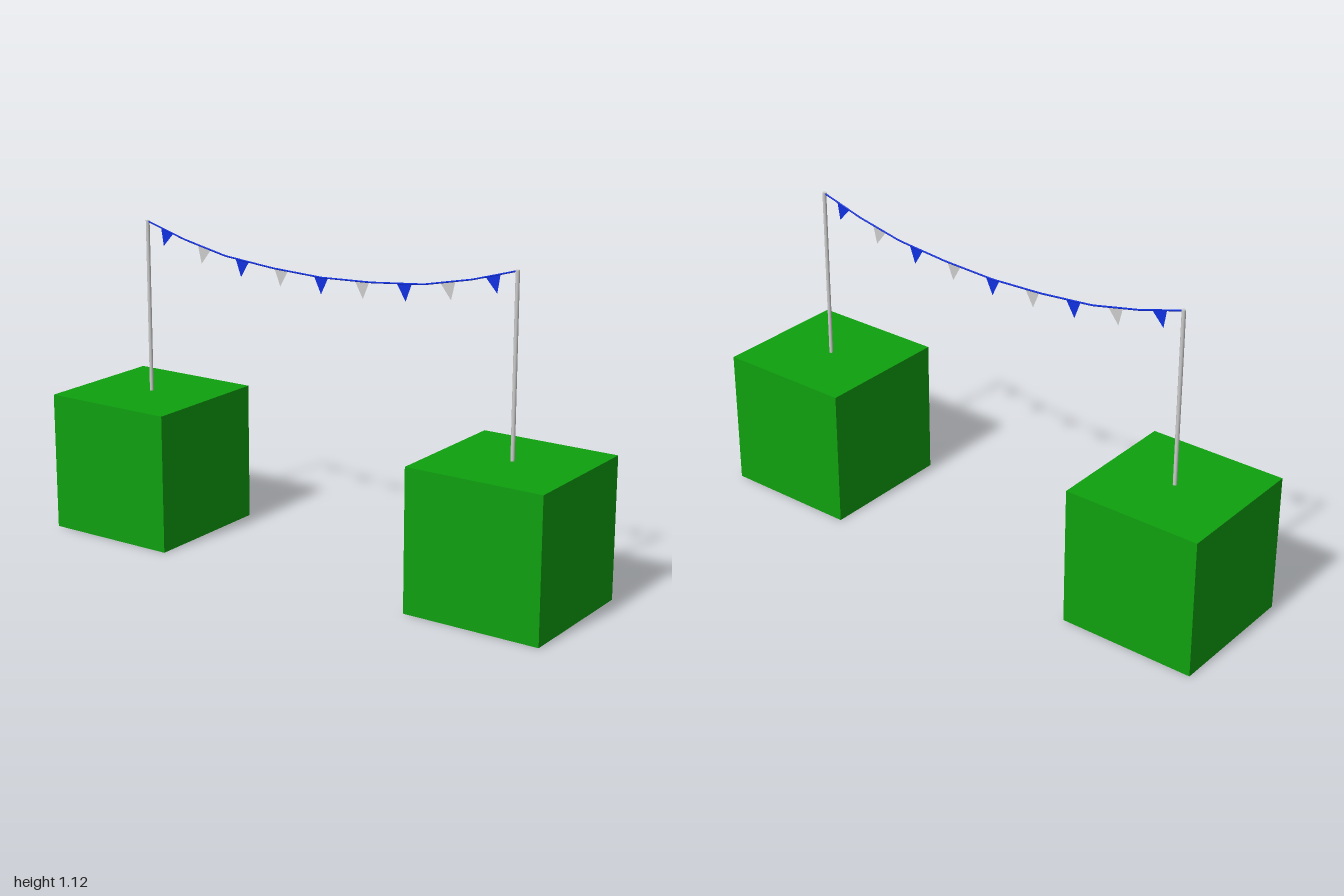
import * as THREE from 'three';

export function createModel() {
  const group = new THREE.Group();
  group.name = 'buntingBetweenBlocks';

  const green = new THREE.MeshStandardMaterial({ color: 0x0fa00f });
  const grey = new THREE.MeshStandardMaterial({ color: 0xcccccc });
  const blue = new THREE.MeshStandardMaterial({ color: 0x1030e0 });
  const blueFlag = new THREE.MeshStandardMaterial({ color: 0x1030e0, side: THREE.DoubleSide });
  const greyFlag = new THREE.MeshStandardMaterial({ color: 0xcccccc, side: THREE.DoubleSide });

  const add = (name, geometry, material, x, y) => {
    const mesh = new THREE.Mesh(geometry, material);
    mesh.name = name;
    mesh.position.set(x, y, 0);
    group.add(mesh);
    return mesh;
  };

  // Blocks with a pole standing on each
  const blockGeo = new THREE.BoxGeometry(0.5, 0.5, 0.5);
  const poleGeo = new THREE.CylinderGeometry(0.007, 0.007, 0.625, 12);
  for (const [side, x] of [['left', 0.75], ['right', -0.75]]) {
    add(side + 'Block', blockGeo, green, x, 0.25);
    add(side + 'Pole', poleGeo, grey, x, 0.8125);
  }

  // Sagging cord made of straight segments
  const half = [[0.75, 1.122], [0.585, 1.074], [0.405, 1.036], [0.2, 1.017]];
  const points = [
    ...half.map(([x, y]) => new THREE.Vector3(-x, y, 0)),
    new THREE.Vector3(0, 1.009, 0),
    ...half.slice().reverse().map(([x, y]) => new THREE.Vector3(x, y, 0)),
  ];
  const cord = new THREE.CurvePath();
  for (let i = 1; i < points.length; i++) cord.add(new THREE.LineCurve3(points[i - 1], points[i]));
  add('cord', new THREE.TubeGeometry(cord, 96, 0.003, 6, false), blue, 0, 0);

  // Smooth guide giving the height and tilt of the cord under each flag
  const guide = new THREE.SplineCurve(points.map((p) => new THREE.Vector2(p.x, p.y)));
  const paramAt = (x) => {
    let lo = 0, hi = 1;
    for (let i = 0; i < 30; i++) {
      const mid = (lo + hi) / 2;
      if (guide.getPoint(mid).x < x) lo = mid; else hi = mid;
    }
    return lo;
  };

  // Triangular flags hanging square to the cord
  const flagShape = new THREE.Shape([
    new THREE.Vector2(-0.028, 0), new THREE.Vector2(0, -0.058), new THREE.Vector2(0.028, 0),
  ]);
  const flagGeo = new THREE.ShapeGeometry(flagShape);
  for (let i = -4; i <= 4; i++) {
    const t = paramAt(i * 0.1655);
    const p = guide.getPoint(t);
    const d = guide.getTangent(t);
    const isBlue = i % 2 === 0;
    const flag = add(isBlue ? 'blueFlag' : 'greyFlag', flagGeo, isBlue ? blueFlag : greyFlag, p.x, p.y);
    flag.rotation.z = Math.atan2(d.y, d.x);
  }

  return group;
}
